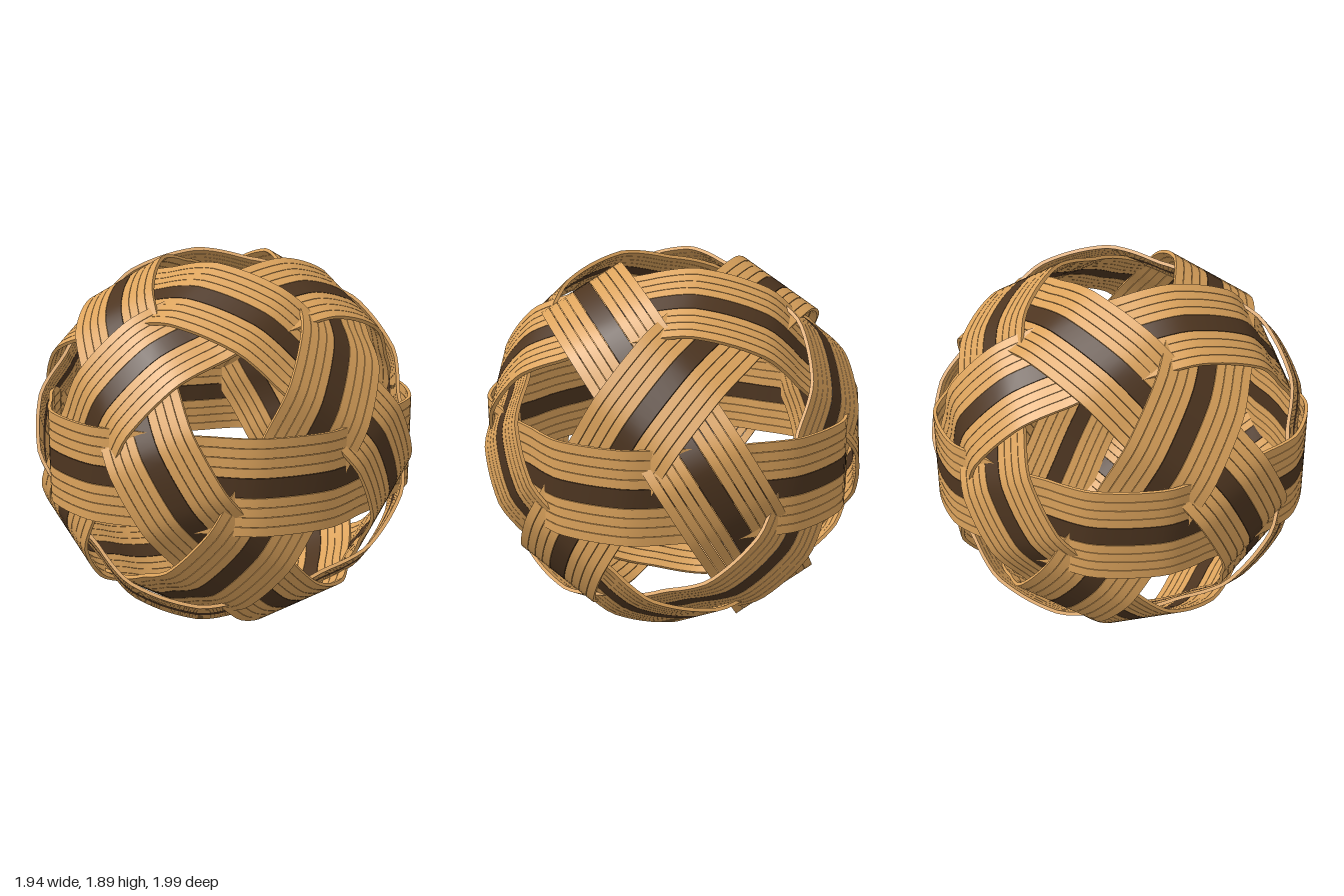
import * as THREE from 'three';
import { toCreasedNormals } from 'three/addons/utils/BufferGeometryUtils.js';

const TILT = THREE.MathUtils.degToRad(30.5); // angle from the pole to each tilted band
const R_MID = 0.9425, R_WAVE = 0.0275;       // outer radius and its weave swing
const THICK = 0.018, SEGMENTS = 120;
const DARK_W = 0.095, LIGHT_W = 0.047, GAP = 0.003;

const cane = new THREE.MeshStandardMaterial({ color: 0xdca35c });
const darkCane = new THREE.MeshStandardMaterial({ color: 0x4d3520 });

// A band is a great circle: point(a) = t cos a + u sin a, with normal n
function makeBand(t, u, firstSign) {
  return { t, u, n: t.clone().cross(u), firstSign };
}

// Angles at which a band crosses all the others, in order
function crossings(band, bands) {
  const list = [];
  for (const other of bands) {
    if (other === band) continue;
    const a = Math.atan2(-band.t.dot(other.n), band.u.dot(other.n));
    for (const b of [a, a + Math.PI]) list.push((b + 4 * Math.PI) % (2 * Math.PI));
  }
  return list.sort((a, b) => a - b);
}

// Over and under alternate from one crossing to the next
function weaveRadius(angle, list, firstSign) {
  const count = list.length;
  let i = count - 1;
  while (i >= 0 && list[i] > angle) i--;
  const from = i < 0 ? list[count - 1] - 2 * Math.PI : list[i];
  const to = i === count - 1 ? list[0] + 2 * Math.PI : list[i + 1];
  const phase = Math.PI * (i + (angle - from) / (to - from));
  const wave = THREE.MathUtils.clamp(1.7 * Math.cos(phase), -1, 1);
  return R_MID + R_WAVE * firstSign * wave;
}

// One flat cane strip: a rectangular section swept round the band
function stripGeometry(band, list, offset, width) {
  const positions = [], index = [];
  const half = width / 2 - GAP / 2;
  for (let s = 0; s < SEGMENTS; s++) {
    const a = (s / SEGMENTS) * 2 * Math.PI;
    const r = weaveRadius(a, list, band.firstSign);
    const dir = band.t.clone().multiplyScalar(Math.cos(a)).addScaledVector(band.u, Math.sin(a));
    const section = [[r, -half], [r, half], [r - THICK, half], [r - THICK, -half]];
    for (const [radius, side] of section) {
      const p = dir.clone().multiplyScalar(radius).addScaledVector(band.n, offset + side);
      positions.push(p.x, p.y, p.z);
    }
    const here = s * 4, next = ((s + 1) % SEGMENTS) * 4;
    for (let j = 0; j < 4; j++) {
      const k = (j + 1) % 4;
      index.push(here + j, next + j, next + k, here + j, next + k, here + k);
    }
  }
  const geometry = new THREE.BufferGeometry();
  geometry.setAttribute('position', new THREE.Float32BufferAttribute(positions, 3));
  geometry.setIndex(index);
  return toCreasedNormals(geometry, 0.6);
}

export function createModel() {
  const model = new THREE.Group();
  model.name = 'wovenBall';

  // One level band and five tilted ones spaced evenly round the pole
  const bands = [makeBand(new THREE.Vector3(0, 0, 1), new THREE.Vector3(1, 0, 0), 1)];
  for (let k = 0; k < 5; k++) {
    const az = Math.PI + (k * 2 * Math.PI) / 5;
    const top = new THREE.Vector3(
      Math.sin(az) * Math.sin(TILT), Math.cos(TILT), Math.cos(az) * Math.sin(TILT));
    bands.push(makeBand(top, new THREE.Vector3(-Math.cos(az), 0, Math.sin(az)), -1));
  }

  bands.forEach((band, b) => {
    const group = new THREE.Group();
    group.name = b === 0 ? 'levelBand' : `tiltedBand${b}`;
    const list = crossings(band, bands);
    // Dark middle strip with four light strips on each side
    for (let i = -4; i <= 4; i++) {
      const offset = i === 0 ? 0 : Math.sign(i) * (DARK_W / 2 + LIGHT_W * (Math.abs(i) - 0.5));
      const mesh = new THREE.Mesh(
        stripGeometry(band, list, offset, i === 0 ? DARK_W : LIGHT_W),
        i === 0 ? darkCane : cane);
      mesh.name = i === 0 ? 'darkStrip' : 'lightStrip';
      group.add(mesh);
    }
    model.add(group);
  });

  // Rest the ball on the ground
  const lowest = new THREE.Box3().setFromObject(model, true).min.y;
  for (const group of model.children) group.position.y = -lowest;
  return model;
}
